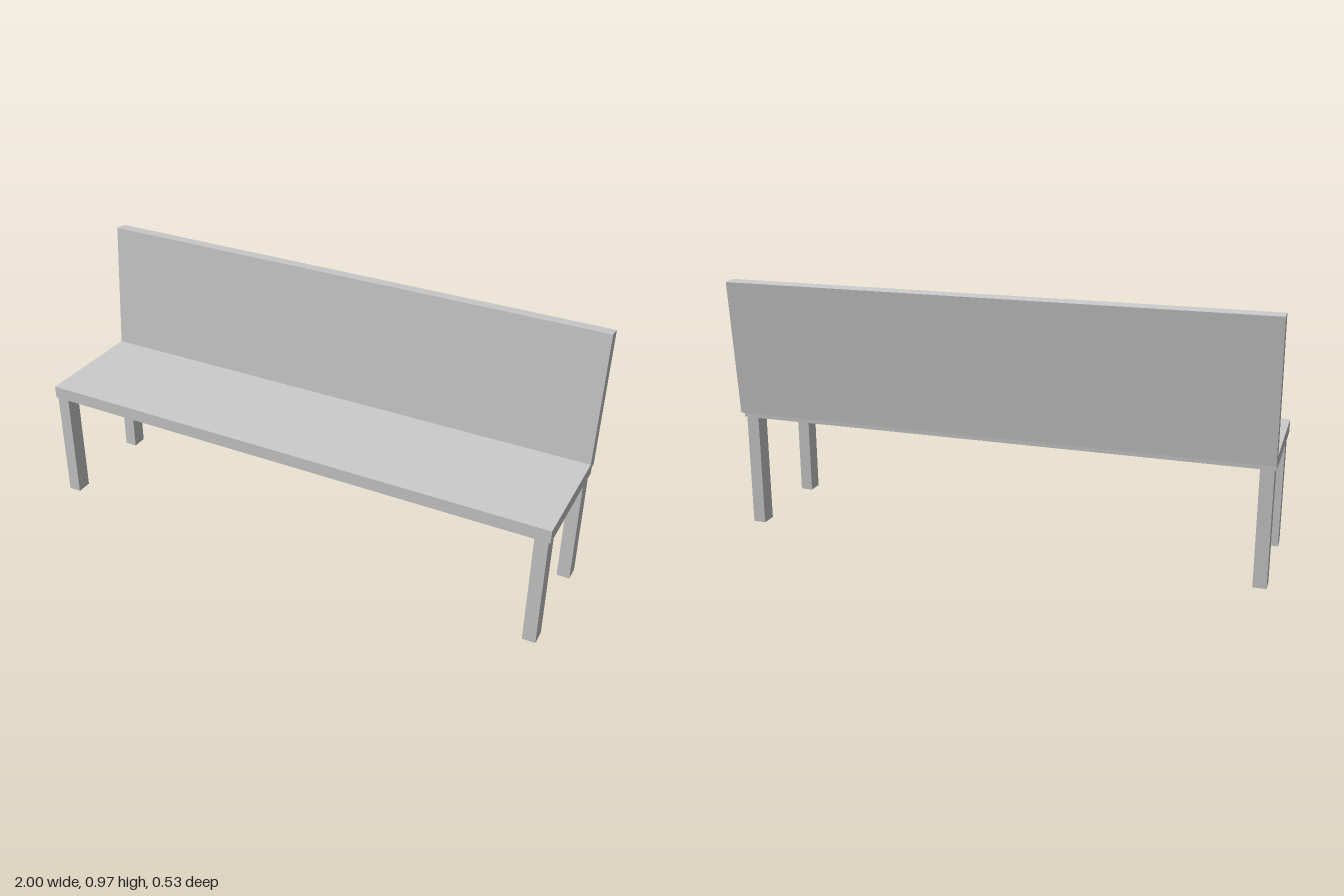
import * as THREE from 'three';

export function createModel() {
  const bench = new THREE.Group();
  bench.name = 'bench';
  const material = new THREE.MeshStandardMaterial({ color: 0xcccccc, flatShading: true });

  const addBox = (name, size, position) => {
    const mesh = new THREE.Mesh(new THREE.BoxGeometry(...size), material);
    mesh.name = name;
    mesh.position.set(...position);
    bench.add(mesh);
    return mesh;
  };

  // Seat plank
  addBox('seat', [2, 0.048, 0.457], [0, 0.454, 0.0345]);

  // Backrest, leaning five degrees backwards
  const backrest = addBox('backrest', [2, 0.511, 0.048], [0, 0.7095, -0.217]);
  backrest.rotation.x = THREE.MathUtils.degToRad(-5);

  // Four legs, set just inside the seat corners
  for (const [side, x] of [['left', 0.969], ['right', -0.969]]) {
    addBox(side + 'FrontLeg', [0.048, 0.43, 0.06], [x, 0.215, 0.23]);
    addBox(side + 'BackLeg', [0.048, 0.43, 0.06], [x, 0.215, -0.16]);
  }

  return bench;
}
